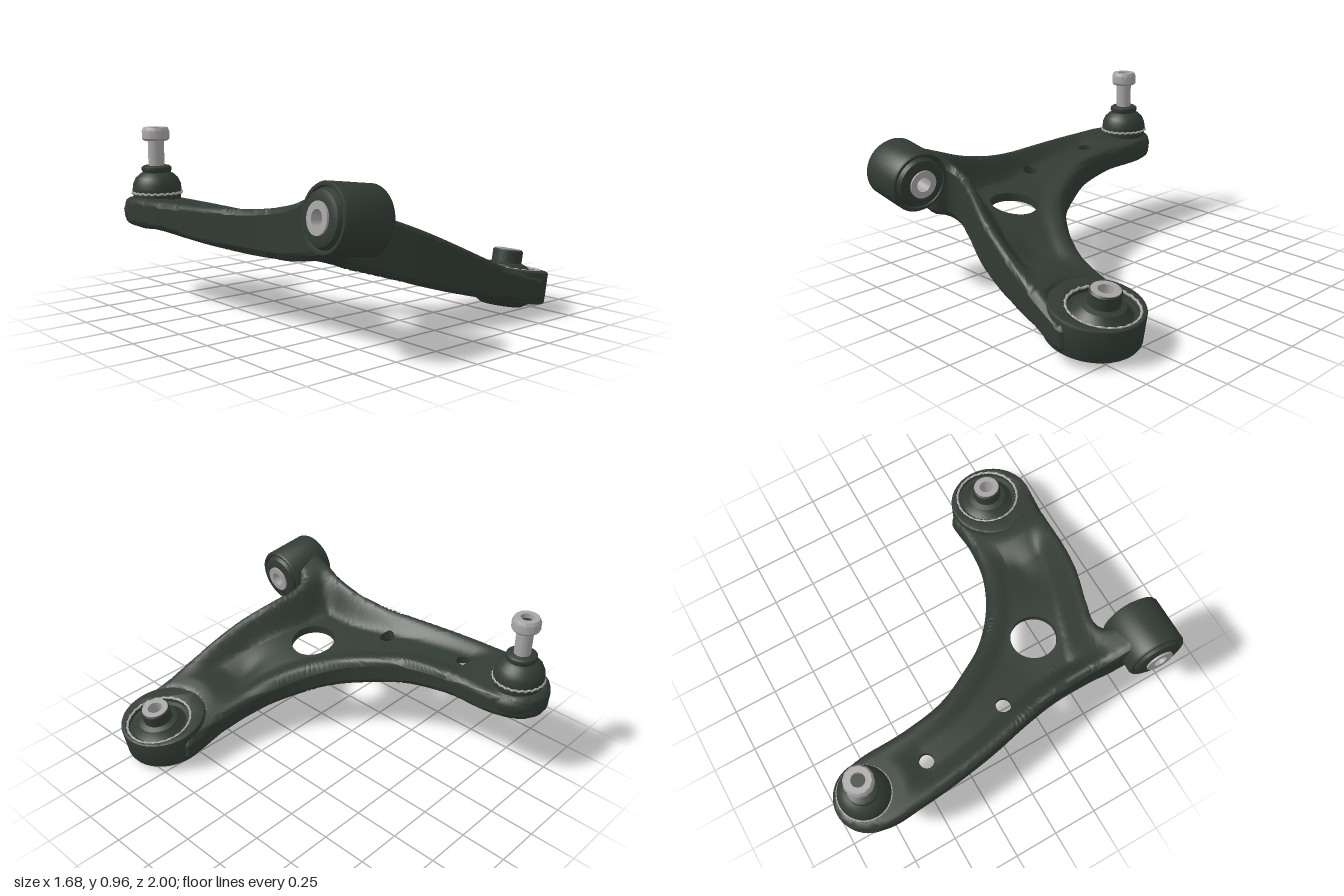
import * as THREE from 'three';
import { mergeVertices, toCreasedNormals } from 'three/addons/utils/BufferGeometryUtils.js';

const V2 = (x, y) => new THREE.Vector2(x, y);
const { smoothstep, lerp, clamp } = THREE.MathUtils;

// Arm outline seen from above (x, z)
const OUTLINE = [
  [-0.835, -0.8], [-0.83, -0.6], [-0.81, -0.4], [-0.77, -0.15], [-0.715, 0.1], [-0.685, 0.3],
  [-0.685, 0.5], [-0.7, 0.66], [-0.69, 0.75], [-0.54, 0.75], [-0.51, 0.675], [-0.45, 0.655],
  [-0.33, 0.69], [-0.1, 0.78], [0.1, 0.83], [0.35, 0.87], [0.64, 0.912],
  [0.62, 0.872], [0.45, 0.8], [0.4, 0.665], [0.45, 0.53], [0.62, 0.458],
  [0.65, 0.418], [0.4, 0.41], [0.2, 0.37], [0, 0.27], [-0.2, 0.1], [-0.3, -0.05], [-0.4, -0.25],
  [-0.445, -0.5], [-0.465, -0.8], [-0.53, -0.945], [-0.65, -0.995], [-0.77, -0.945],
];
// Height guides: x, z, upper rim, lower rim, web
const HEIGHTS = [
  [-0.64, -0.85, 0.555, 0.41, 0.52], [-0.8, -0.5, 0.575, 0.42, 0.53], [-0.5, -0.5, 0.545, 0.41, 0.52],
  [-0.77, -0.15, 0.585, 0.39, 0.52], [-0.4, -0.25, 0.525, 0.37, 0.5], [-0.7, 0.15, 0.6, 0.37, 0.5],
  [-0.28, 0, 0.48, 0.32, 0.455], [-0.68, 0.42, 0.64, 0.38, 0.47], [-0.6, 0.74, 0.73, 0.42, 0.5],
  [-0.45, 0.66, 0.66, 0.35, 0.47], [-0.1, 0.2, 0.4, 0.25, 0.38], [-0.25, 0.72, 0.58, 0.275, 0.45],
  [0, 0.8, 0.47, 0.2, 0.37], [0.2, 0.84, 0.37, 0.145, 0.29], [0.4, 0.87, 0.275, 0.1, 0.22],
  [0.2, 0.37, 0.275, 0.15, 0.25], [0.45, 0.42, 0.23, 0.09, 0.19], [0.62, 0.66, 0.2, 0.05, 0.15],
];
// Holes: x, z, radius
const HOLES = [[-0.315, 0.38, 0.127], [-0.64, -0.47, 0.04], [-0.575, 0.03, 0.042]];
// Places where the pressed web fades out: x, z, inner and outer radius
const SOLID = [[-0.64, -0.82, 0.2, 0.36], [0.62, 0.66, 0.28, 0.5], [-0.6, 0.74, 0.1, 0.3]];

function edgeDistance(x, z, loop) {
  let best = Infinity;
  for (let i = 0; i < loop.length; i++) {
    const a = loop[i], b = loop[(i + 1) % loop.length];
    const ex = b.x - a.x, ez = b.y - a.y;
    const t = clamp(((x - a.x) * ex + (z - a.y) * ez) / (ex * ex + ez * ez), 0, 1);
    best = Math.min(best, Math.hypot(x - a.x - ex * t, z - a.y - ez * t));
  }
  return best;
}

// Smooth fit through the guides: a weighted local plane at each point
function guideHeights(x, z) {
  const s = [0, 0, 0, 0, 0, 0];
  const sums = [[0, 0, 0], [0, 0, 0], [0, 0, 0]];
  for (const [px, pz, ...values] of HEIGHTS) {
    const dx = px - x, dz = pz - z;
    const k = Math.exp(-(dx * dx + dz * dz) / (2 * 0.17 ** 2)) + 1e-6;
    [1, dx, dz, dx * dx, dx * dz, dz * dz].forEach((v, i) => { s[i] += k * v; });
    values.forEach((v, i) => [1, dx, dz].forEach((q, j) => { sums[i][j] += k * v * q; }));
  }
  const m = new THREE.Matrix3().set(s[0], s[1], s[2], s[1], s[3] + 1e-3, s[4], s[2], s[4], s[5] + 1e-3).invert();
  return sums.map(v => new THREE.Vector3(...v).applyMatrix3(m).x);
}

// Upper and lower surface heights: rounded rims around a thin recessed web
function armHeights(x, z, loop) {
  const [top, bottom, webLevel] = guideHeights(x, z);
  const d = edgeDistance(x, z, loop), r = 0.035;
  let web = 1;
  for (const [sx, sz, r0, r1] of SOLID) web *= smoothstep(Math.hypot(x - sx, z - sz), r0, r1);
  const round = d < r ? r - Math.sqrt(r * r - (r - d) ** 2) : 0;
  const pocket = 0.025 * Math.exp(-(((x - 0.06) / 0.12) ** 2) - ((z - 0.57) / 0.08) ** 2);
  return [
    lerp(top - round, webLevel, web * smoothstep(d, 0.035, 0.14)) - pocket,
    lerp(bottom + round, webLevel - 0.045, web * smoothstep(d, 0.035, 0.085)),
  ];
}

function meshFrom(positions) {
  const g = new THREE.BufferGeometry();
  g.setAttribute('position', new THREE.Float32BufferAttribute(positions, 3));
  const merged = mergeVertices(g, 1e-5);
  merged.computeVertexNormals();
  return merged;
}

function armGeometries() {
  const curve = new THREE.CatmullRomCurve3(OUTLINE.map(([x, z]) => new THREE.Vector3(x, 0, z)), true, 'centripetal');
  const loop = curve.getSpacedPoints(220).slice(0, -1).map(p => V2(p.x, p.z));
  if (THREE.ShapeUtils.isClockWise(loop)) loop.reverse();
  const holes = HOLES.map(([x, z, r]) => {
    const n = r > 0.1 ? 40 : 20;
    return Array.from({ length: n }, (_, i) => V2(x + r * Math.cos(-i / n * 2 * Math.PI), z + r * Math.sin(-i / n * 2 * Math.PI)));
  });
  const all = [loop, ...holes].flat();
  const cache = new Map();
  const heights = p => {
    const key = p.x.toFixed(6) + ',' + p.y.toFixed(6);
    if (!cache.has(key)) cache.set(key, armHeights(p.x, p.y, loop));
    return cache.get(key);
  };
  const at = (p, side) => [p.x, heights(p)[side], p.y];
  const upper = [], lower = [], walls = [];

  // Halve the longest edge until every triangle is small
  const split = (a, b, c) => {
    const ab = a.distanceTo(b), bc = b.distanceTo(c), ca = c.distanceTo(a);
    const m = Math.max(ab, bc, ca);
    if (m > 0.03) {
      if (m === bc) [a, b, c] = [b, c, a];
      else if (m === ca) [a, b, c] = [c, a, b];
      const mid = V2((a.x + b.x) / 2, (a.y + b.y) / 2);
      split(a, mid, c);
      split(mid, b, c);
      return;
    }
    if ((b.x - a.x) * (c.y - a.y) - (b.y - a.y) * (c.x - a.x) < 0) [b, c] = [c, b];
    upper.push(...at(a, 0), ...at(c, 0), ...at(b, 0));
    lower.push(...at(a, 1), ...at(b, 1), ...at(c, 1));
  };
  for (const [i, j, k] of THREE.ShapeUtils.triangulateShape(loop, holes)) split(all[i], all[j], all[k]);

  // Side walls of the outline and the holes
  for (const ring of [loop, ...holes]) {
    ring.forEach((a, i) => {
      const b = ring[(i + 1) % ring.length];
      walls.push(...at(a, 1), ...at(a, 0), ...at(b, 0), ...at(a, 1), ...at(b, 0), ...at(b, 1));
    });
  }
  return { armTop: meshFrom(upper), armUnderside: meshFrom(lower), armWalls: meshFrom(walls) };
}

// Wavy spring clip around the y axis
function clip(radius, y) {
  const points = Array.from({ length: 96 }, (_, i) => {
    const a = i / 96 * 2 * Math.PI, r = radius + 0.003 * (i % 2);
    return new THREE.Vector3(r * Math.cos(a), y + 0.003 * Math.sin(a * 24), r * Math.sin(a));
  });
  return new THREE.TubeGeometry(new THREE.CatmullRomCurve3(points, true), 192, 0.007, 6, true);
}

export function createModel() {
  const paint = new THREE.MeshStandardMaterial({ color: 0x323b33 });
  paint.name = 'dark green paint';
  const steel = new THREE.MeshStandardMaterial({ color: 0xa8a5a5 });
  steel.name = 'bare steel';

  const model = new THREE.Group();
  model.name = 'controlArm';
  const add = (parent, name, geometry, material) => {
    const mesh = new THREE.Mesh(geometry, material);
    mesh.name = name;
    parent.add(mesh);
  };
  const group = (name, x, y, z, parent = model) => {
    const g = new THREE.Group();
    g.name = name;
    g.position.set(x, y, z);
    parent.add(g);
    return g;
  };
  const lathe = (points, segments = 48) =>
    toCreasedNormals(new THREE.LatheGeometry(points.map(p => V2(...p)), segments), 0.6);
  const tube = (inner, outer, y0, y1) =>
    lathe([[inner, y0], [outer, y0], [outer, y1], [inner, y1], [inner, y0]], 32);

  // Pressed arm
  const arm = group('arm', 0, 0, 0);
  for (const [name, geometry] of Object.entries(armGeometries())) add(arm, name, geometry, paint);

  // Ball joint
  const housing = group('ballJointHousing', -0.65, 0, -0.81);
  add(housing, 'housingCup', lathe([[0, 0.385], [0.09, 0.39], [0.15, 0.415], [0.18, 0.455], [0.185, 0.5],
    [0.175, 0.525], [0.15, 0.545], [0, 0.545]]), paint);
  const joint = group('ballJoint', -0.64, 0, -0.825);
  add(joint, 'boot', lathe([[0.13, 0.54], [0.137, 0.6], [0.133, 0.635], [0.118, 0.668], [0.095, 0.69],
    [0.078, 0.7], [0.084, 0.715], [0.082, 0.73], [0.07, 0.738], [0, 0.738]]), paint);
  add(joint, 'bootClip', clip(0.135, 0.586), steel);
  add(joint, 'stud', lathe([[0.045, 0.72], [0.045, 0.89]], 32), steel);
  add(joint, 'nut', lathe([[0.04, 0.878], [0.066, 0.878], [0.076, 0.89], [0.076, 0.935], [0.066, 0.953],
    [0.036, 0.953], [0.036, 0.925]], 12), steel);
  add(joint, 'nutSocket', new THREE.CircleGeometry(0.037, 24).rotateX(-Math.PI / 2).translate(0, 0.926, 0), paint);

  // Front bush lying along x
  const eye = group('frontBush', -0.64, 0.625, 0.835);
  eye.rotation.set(0, -0.05, Math.PI / 2 - 0.12);
  const half = [[0.163, 0.125], [0.156, 0.137], [0.142, 0.137], [0.136, 0.125], [0.124, 0.15], [0.1, 0.158], [0.07, 0.158]];
  add(eye, 'bushHousing', lathe([...half.map(([r, y]) => [r, -y]).reverse(), ...half]), paint);
  add(eye, 'bushSleeve', tube(0.04, 0.075, -0.168, 0.168), steel);

  // Rear bush standing in a tilted cup, its core set off centre
  const cup = group('rearBush', 0.595, 0.145, 0.665);
  cup.rotation.z = -0.18;
  const ring = new THREE.Shape().absarc(0, 0, 0.228, 0, 2 * Math.PI);
  ring.holes.push(new THREE.Path().absarc(0.035, 0.008, 0.185, 0, 2 * Math.PI, true));
  const wall = new THREE.ExtrudeGeometry(ring, {
    depth: 0.146, curveSegments: 32, bevelSize: 0.012, bevelThickness: 0.012, bevelSegments: 2,
  });
  add(cup, 'cupWall', toCreasedNormals(wall.rotateX(-Math.PI / 2).translate(0, -0.073, 0), 0.6), paint);
  const core = group('rearBushCore', 0.035, 0, -0.008, cup);
  add(core, 'rubber', lathe([[0.045, -0.13], [0.11, -0.125], [0.15, -0.1], [0.175, -0.08], [0.178, 0.06],
    [0.15, 0.055], [0.125, 0.075], [0.11, 0.095], [0.08, 0.105], [0.08, 0.168], [0.074, 0.175], [0.06, 0.175]]), paint);
  add(core, 'retainingClip', clip(0.178, 0.082), steel);
  add(core, 'innerSleeve', tube(0.04, 0.073, -0.12, 0.179), steel);
  return model;
}
